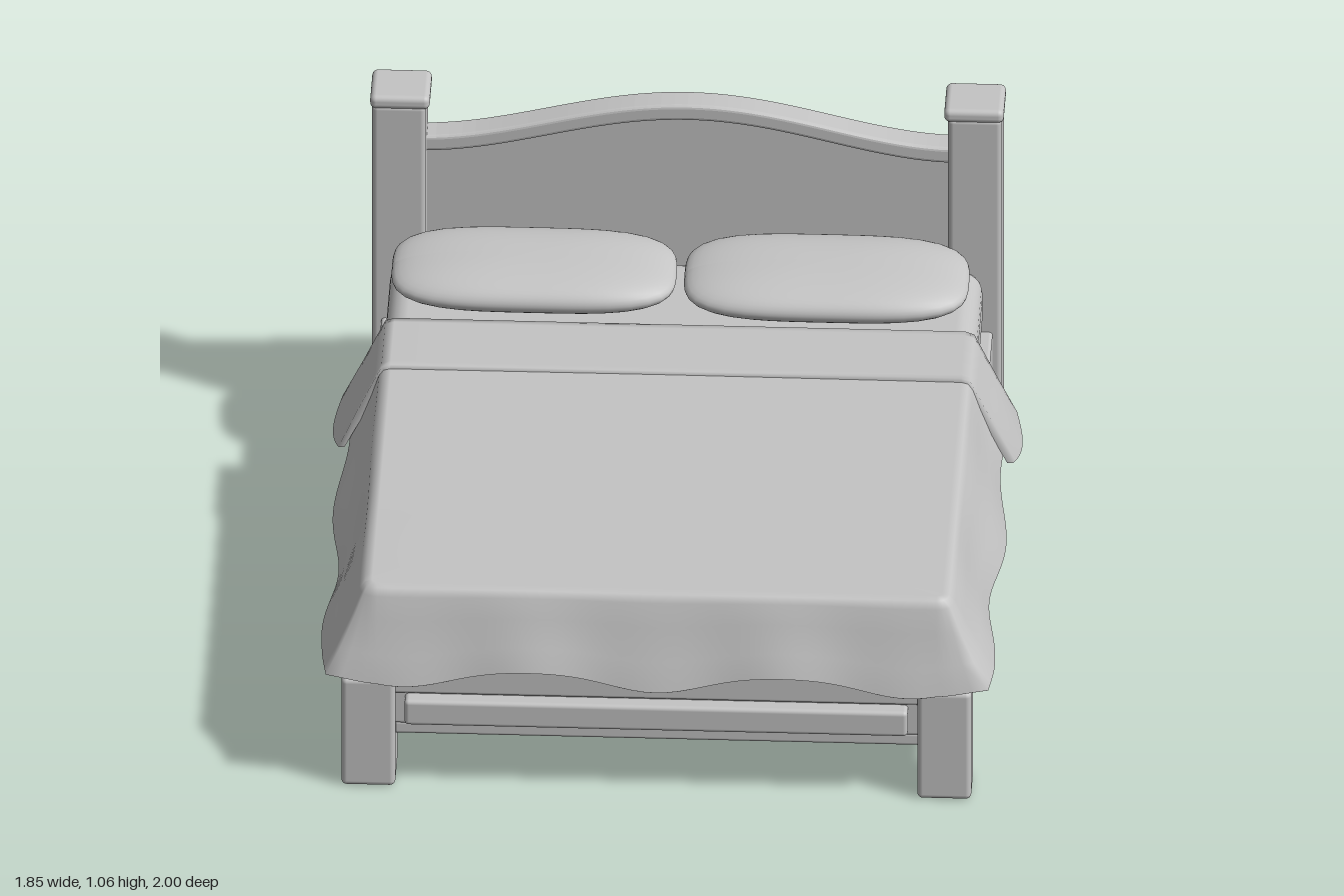
import * as THREE from 'three';
import { RoundedBoxGeometry } from 'three/addons/geometries/RoundedBoxGeometry.js';

const TAU = Math.PI * 2;

export function createModel() {
  const model = new THREE.Group();
  model.name = 'bed';
  const grey = new THREE.MeshStandardMaterial({ color: 0xc4c4c4, side: THREE.DoubleSide });
  grey.name = 'plain grey';

  function add(name, geometry) {
    const mesh = new THREE.Mesh(geometry, grey);
    mesh.name = name;
    model.add(mesh);
    return mesh;
  }

  // Rounded box given by its limits on each axis
  function block(name, [x0, x1], [y0, y1], [z0, z1], radius = 0.01) {
    const mesh = add(name, new RoundedBoxGeometry(x1 - x0, y1 - y0, z1 - z0, 3, radius));
    mesh.position.set((x0 + x1) / 2, (y0 + y1) / 2, (z0 + z1) / 2);
    return mesh;
  }

  // Surface through a list of sections, each a list of [x, y, z]
  function loft(sections) {
    const n = sections[0].length, index = [];
    for (let i = 0; i < sections.length - 1; i++) {
      for (let j = 0; j < n - 1; j++) {
        const a = i * n + j, b = a + n;
        index.push(a, a + 1, b, a + 1, b + 1, b);
      }
    }
    const g = new THREE.BufferGeometry();
    g.setAttribute('position', new THREE.Float32BufferAttribute(sections.flat(2), 3));
    g.setIndex(index);
    g.computeVertexNormals();
    return g;
  }

  // Posts, caps and side rails
  for (const s of [-1, 1]) {
    const side = s > 0 ? 'left' : 'right';
    const span = (a, b) => (s > 0 ? [a, b] : [-b, -a]);
    block(side + 'BackPost', span(0.7, 0.845), [0, 1.03], [-0.99, -0.85], 0.015);
    block(side + 'PostCap', span(0.69, 0.85), [1.02, 1.06], [-1, -0.845], 0.016);
    block(side + 'FrontPost', span(0.7, 0.845), [0, 0.335], [0.817, 0.957], 0.015);
    block(side + 'Rail', span(0.74, 0.805), [0.17, 0.365], [-0.88, 0.85]);
    block(side + 'RailLowerMoulding', span(0.74, 0.82), [0.16, 0.212], [-0.88, 0.85]);
    block(side + 'RailUpperMoulding', span(0.74, 0.82), [0.235, 0.365], [-0.88, 0.85]);
  }

  // Foot board with raised panel
  block('footBoard', [-0.72, 0.72], [0.18, 0.365], [0.85, 0.925]);
  block('footBoardMoulding', [-0.72, 0.72], [0.145, 0.185], [0.85, 0.92]);
  block('footBoardRidge', [-0.71, 0.71], [0.283, 0.365], [0.86, 0.94]);
  block('footPanel', [-0.675, 0.675], [0.2, 0.277], [0.9, 0.968], 0.012);

  // Base under the mattress
  block('bedBase', [-0.78, 0.78], [0.27, 0.385], [-0.9, 0.9]);

  // Arched headboard: flat panel and a thicker top rail
  const arch = (x) => 0.913 + 0.115 * Math.pow(0.5 + 0.5 * Math.cos((Math.PI * x) / 0.71), 0.9);
  function archShape(top, bottom) {
    const pts = [];
    for (let i = 0; i <= 40; i++) {
      const x = -0.71 + (1.42 * i) / 40;
      pts.push(new THREE.Vector2(x, top(x)));
    }
    for (let i = 40; i >= 0; i--) {
      const x = -0.71 + (1.42 * i) / 40;
      pts.push(new THREE.Vector2(x, bottom(x)));
    }
    return new THREE.Shape(pts);
  }
  const panel = add('headboardPanel', new THREE.ExtrudeGeometry(
    archShape((x) => arch(x) - 0.02, () => 0.16), { depth: 0.05, bevelEnabled: false }));
  panel.position.z = -0.968;
  const rail = add('headboardTopRail', new THREE.ExtrudeGeometry(
    archShape((x) => arch(x) - 0.01, (x) => arch(x) - 0.037),
    { depth: 0.06, bevelThickness: 0.01, bevelSize: 0.01, bevelSegments: 3 }));
  rail.position.z = -0.96;
  block('headboardBottomRail', [-0.72, 0.72], [0.15, 0.2], [-0.968, -0.88]);

  // Mattress
  block('mattress', [-0.795, 0.795], [0.375, 0.56], [-0.88, 0.9], 0.06);

  // Pillows: squared-off, flattened spheres
  function pillow(name, cx, cz, w, d, lean) {
    const g = new THREE.SphereGeometry(1, 48, 24);
    const p = g.attributes.position;
    for (let i = 0; i < p.count; i++) {
      const x = p.getX(i), y = p.getY(i), z = p.getZ(i);
      const r = Math.hypot(x, z);
      if (r < 1e-6) { p.setXYZ(i, 0, y * 0.06, 0); continue; }
      const c = x / r, s = z / r;
      const k = Math.pow(r, 0.8) / Math.pow(Math.pow(Math.abs(c), 3.6) + Math.pow(Math.abs(s), 3.6), 1 / 3.6);
      p.setXYZ(i, c * k * w, y * 0.06 - s * k * lean, s * k * d);
    }
    g.computeVertexNormals();
    add(name, g).position.set(cx, 0.621, cz);
  }
  pillow('rightPillow', -0.402, -0.695, 0.382, 0.167, 0.015);
  pillow('leftPillow', 0.383, -0.688, 0.382, 0.175, 0.015);

  // Blanket: a U-shaped edge path with a flared, wavy skirt
  const path = [];
  const X = 0.79, Z = 0.92, R = 0.04, BACK = -0.3;
  for (let i = 0; i <= 40; i++) path.push([X, BACK + ((Z - R - BACK) * i) / 40, 1, 0]);
  for (let i = 1; i < 8; i++) {
    const a = (i / 8) * Math.PI / 2, c = Math.cos(a), s = Math.sin(a);
    path.push([X - R + R * c, Z - R + R * s, c, s]);
  }
  for (let i = 0; i <= 24; i++) path.push([(X - R) * (1 - i / 24), Z, 0, 1]);
  for (let i = path.length - 2; i >= 0; i--) {
    const [x, z, nx, nz] = path[i];
    path.push([-x, z, -nx, nz]);
  }
  // Each row: outward share of the flare, share of the drop to the hem, inset
  const rows = [[0, 0, -0.025], [0, 0.02, -0.006], [0.08, 0.1, 0], [0.3, 0.35, 0], [0.65, 0.7, 0],
    [1, 0.985, 0], [1, 1, -0.006], [0.98, 1, -0.016], [0.65, 0.72, -0.018], [0.2, 0.35, -0.015], [0, 0.12, -0.015]];
  const blanket = path.map(([x, z, nx, nz]) => {
    const sideHem = 0.358 - 0.02 * Math.cos((TAU * (z - 0.2)) / 1.1);
    const frontHem = 0.363 - 0.026 * Math.cos((TAU * x) / 0.68);
    const hem = nx * nx * sideHem + nz * nz * frontHem;
    const flareX = 0.1 + 0.015 * Math.cos((TAU * (z - (x > 0 ? 0.2 : 0.12))) / 0.67);
    const flareZ = 0.073 + 0.006 * Math.cos((TAU * x) / 0.34);
    const m = Math.max(Math.abs(nx), Math.abs(nz));
    const skirt = rows.map(([f, d, inset]) => [
      x + nx * inset + (nx / m) * flareX * f,
      0.604 + (hem - 0.604) * d,
      z + nz * inset + (nz / m) * flareZ * f]);
    return [[0, 0.606, Math.min(z, 0.5)], ...skirt];
  });
  add('blanket', loft(blanket));

  // Turned-down fold lying across the blanket
  function foldSection(z, closed) {
    const t = (z + 0.44) / 0.24;
    const hem = 0.368 - 0.03 * Math.sin(Math.PI * Math.min(1, t * 0.85));
    const out = 0.905 + 0.02 * Math.sin(Math.PI * t);
    const half = [[0, 0.617], [0.765, 0.617], [0.79, 0.608], [0.808, 0.57], [0.85, 0.48], [out, hem]];
    const mirror = (pts) => pts.map(([x, y]) => [-x, y]);
    const outer = [...mirror(half).reverse(), ...half.slice(1)];
    const inner = outer.map(([x, y]) => [x - 0.016 * Math.sign(x) * (Math.abs(x) > 0.77 ? 1 : 0),
      y - (Math.abs(x) > 0.87 ? 0 : 0.016)]);
    const ring = [...(closed ? inner : outer), ...[...inner].reverse()];
    ring.push(ring[0]);
    return ring.map(([x, y]) => [x, y, z]);
  }
  const fold = [foldSection(-0.44, true)];
  for (let i = 0; i <= 12; i++) fold.push(foldSection(-0.44 + 0.02 * i, false));
  fold.push(foldSection(-0.2, true));
  add('blanketFold', loft(fold));

  return model;
}
